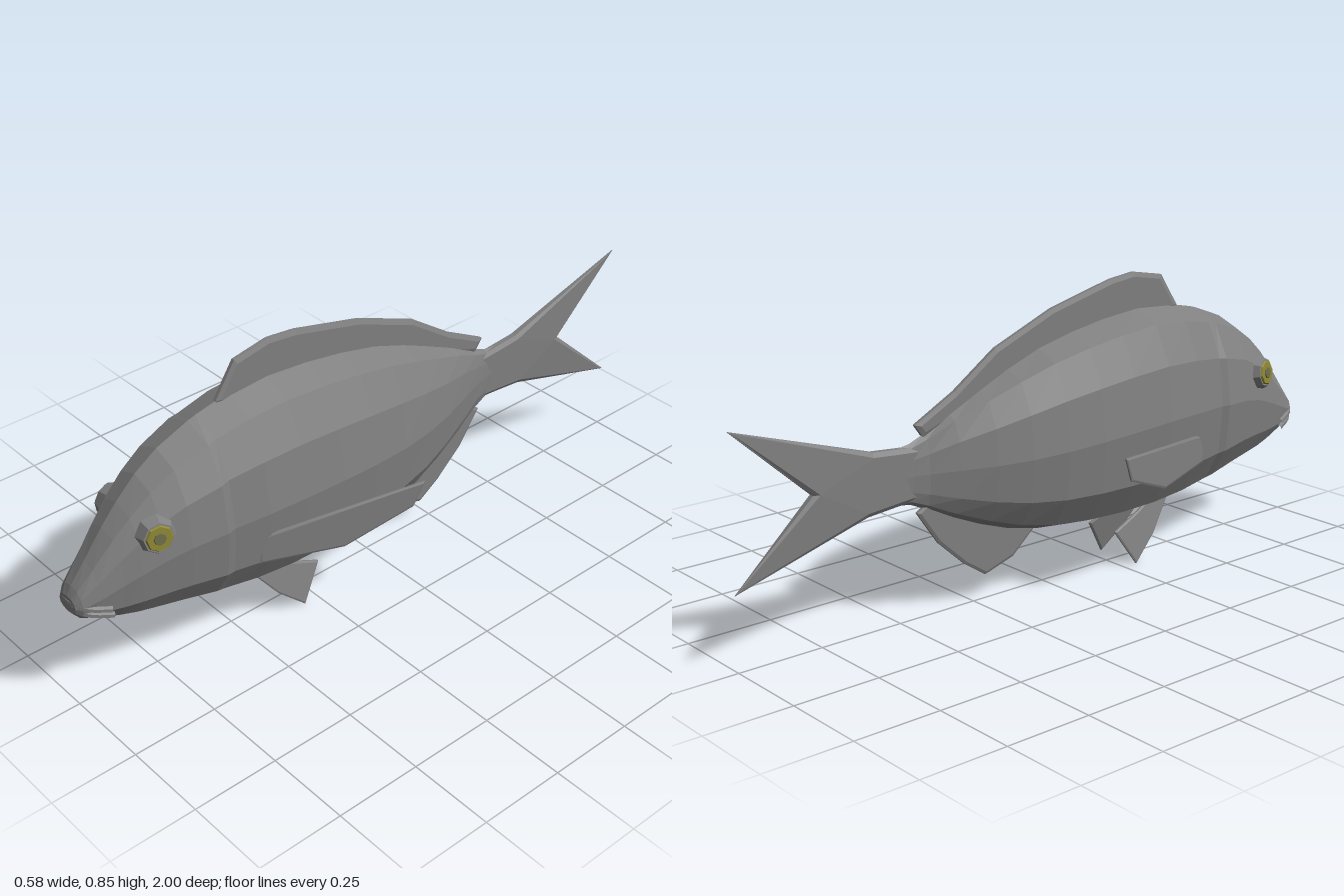
import * as THREE from 'three';

const skin = new THREE.MeshStandardMaterial({ color: 0x808080 });
skin.name = 'grey skin';
const yellow = new THREE.MeshStandardMaterial({ color: 0x8c8632 });
yellow.name = 'yellow iris';
const dark = new THREE.MeshStandardMaterial({ color: 0x6c6c48 });
dark.name = 'dull pupil';

// Faceted mesh: unshared corners give every face its own normal
function facet(geometry, material, name) {
  const g = geometry.index ? geometry.toNonIndexed() : geometry;
  g.computeVertexNormals();
  const mesh = new THREE.Mesh(g, material);
  mesh.name = name;
  return mesh;
}

// Body stations from snout to tail root: z, top, bottom, half width
const STATIONS = [
  [1.0, 0.365, 0.315, 0.036], [0.985, 0.39, 0.296, 0.05], [0.94, 0.445, 0.275, 0.066],
  [0.88, 0.52, 0.25, 0.084], [0.83, 0.575, 0.235, 0.1], [0.77, 0.63, 0.222, 0.116],
  [0.7, 0.675, 0.208, 0.133], [0.6, 0.713, 0.185, 0.152], [0.575, 0.72, 0.178, 0.146],
  [0.47, 0.742, 0.16, 0.16], [0.35, 0.75, 0.148, 0.166], [0.22, 0.738, 0.145, 0.164],
  [0.1, 0.718, 0.15, 0.158], [-0.02, 0.69, 0.163, 0.146], [-0.13, 0.65, 0.187, 0.123],
  [-0.23, 0.606, 0.222, 0.093], [-0.33, 0.56, 0.265, 0.058], [-0.41, 0.515, 0.306, 0.028],
  [-0.46, 0.495, 0.328, 0.018], [-0.52, 0.487, 0.337, 0.012],
];
// Half cross-section as fractions of half width and height, top to bottom
const HALF = [[0, 1], [0.55, 0.935], [0.87, 0.75], [1, 0.49], [0.91, 0.22], [0.57, 0.06], [0, 0]];
const RING = [...HALF, ...HALF.slice(1, -1).reverse().map(([x, y]) => [-x, y])];

function bodyGeometry() {
  const pos = [], idx = [], n = RING.length;
  for (const [z, top, bottom, w] of STATIONS)
    for (const [u, v] of RING) pos.push(u * w, bottom + v * (top - bottom), z);
  for (let i = 0; i < STATIONS.length - 1; i++)
    for (let j = 0; j < n; j++) {
      const a = i * n + j, b = i * n + (j + 1) % n;
      idx.push(a, b, a + n, b, b + n, a + n);
    }
  // End caps
  const last = (STATIONS.length - 1) * n;
  for (let j = 1; j < n - 1; j++) {
    idx.push(0, j + 1, j);
    idx.push(last, last + j, last + j + 1);
  }
  const g = new THREE.BufferGeometry();
  g.setAttribute('position', new THREE.Float32BufferAttribute(pos, 3));
  g.setIndex(idx);
  return g;
}

// Bevelled plate from a (z, y) outline; place(x, y, z) gives the new x
function fin(outline, half, bevel, name, place = (x) => x) {
  const shape = new THREE.Shape(outline.map(([z, y]) => new THREE.Vector2(z, y)));
  const g = new THREE.ExtrudeGeometry(shape, {
    depth: half, bevelEnabled: true, bevelThickness: half / 2,
    bevelSize: bevel, bevelOffset: -bevel, bevelSegments: 1, curveSegments: 1,
  });
  g.translate(0, 0, -half / 2).rotateY(-Math.PI / 2);
  const p = g.attributes.position;
  for (let i = 0; i < p.count; i++) p.setX(i, place(p.getX(i), p.getY(i), p.getZ(i)));
  return facet(g, skin, name);
}

// Eight-sided eye: raised rim, iris and pupil
function eye(side) {
  const group = new THREE.Group();
  group.name = side > 0 ? 'leftEye' : 'rightEye';
  const disc = (r0, r1, h, y, mat, name) => {
    const g = new THREE.CylinderGeometry(r0, r1, h, 8);
    g.rotateY(Math.PI / 8).translate(0, y, 0);
    group.add(facet(g, mat, name));
  };
  disc(0.042, 0.056, 0.03, 0, skin, 'eyeRim');
  disc(0.034, 0.038, 0.006, 0.017, yellow, 'iris');
  disc(0.016, 0.018, 0.004, 0.021, dark, 'pupil');
  group.position.set(side * 0.104, 0.503, 0.785);
  const out = new THREE.Vector3(side, 0.14, 0.28).normalize();
  group.quaternion.setFromUnitVectors(new THREE.Vector3(0, 1, 0), out);
  return group;
}

// Lip following the front of the snout
function lip(y, reach, name) {
  const pts = [[-0.07, -0.025, 0.915], [-0.052, -0.008, 0.968], [-0.03, 0, 0.99],
    [0.03, 0, 0.99], [0.052, -0.008, 0.968], [0.07, -0.025, 0.915]]
    .map(([x, dy, z]) => new THREE.Vector3(x, y + dy, z + reach));
  const curve = new THREE.CatmullRomCurve3(pts);
  return facet(new THREE.TubeGeometry(curve, 12, 0.009, 6), skin, name);
}

export function createModel() {
  const fish = new THREE.Group();
  fish.name = 'fish';
  fish.add(facet(bodyGeometry(), skin, 'body'));
  fish.add(lip(0.344, 0.001, 'upperLip'), lip(0.324, -0.004, 'lowerLip'));

  // Forked tail, thinning towards its tips
  fish.add(fin([
    [-0.43, 0.485], [-0.5, 0.49], [-0.58, 0.497], [-1, 0.63], [-0.765, 0.42],
    [-1, 0.208], [-0.6, 0.326], [-0.5, 0.335], [-0.43, 0.34],
  ], 0.016, 0.012, 'tailFin', (x, y, z) => x * THREE.MathUtils.clamp((z + 1) / 0.2, 0.15, 1)));

  // Fins on the midline
  fish.add(fin([
    [0.515, 0.735], [0.45, 0.832], [0.34, 0.852], [0.25, 0.842], [0.03, 0.788], [-0.17, 0.708],
    [-0.31, 0.612], [-0.442, 0.543], [-0.415, 0.505], [-0.2, 0.58], [0, 0.66], [0.3, 0.71], [0.48, 0.7],
  ], 0.01, 0.013, 'dorsalFin'));
  fish.add(fin([
    [-0.02, 0.18], [-0.11, 0.102], [-0.21, 0.072], [-0.28, 0.118], [-0.37, 0.2],
    [-0.44, 0.3], [-0.4, 0.325], [-0.2, 0.25], [-0.06, 0.2],
  ], 0.007, 0.008, 'analFin'));

  // Paired fins and eyes
  for (const side of [1, -1]) {
    const tag = side > 0 ? 'left' : 'right';
    fish.add(fin([
      [0.5, 0.372], [0.048, 0.42], [0.08, 0.347], [0.27, 0.272], [0.5, 0.288],
    ], 0.005, 0.006, tag + 'PectoralFin', (x, y, z) => x + side * (0.146 + (0.48 - z) * 0.332)));
    fish.add(fin([
      [0.46, 0.18], [0.38, 0.075], [0.298, 0.002], [0.23, 0.108], [0.33, 0.15], [0.38, 0.18],
    ], 0.005, 0.005, tag + 'PelvicFin', (x, y) => x + side * (0.042 + (0.17 - y) * 0.2)));
    fish.add(eye(side));
  }
  return fish;
}
